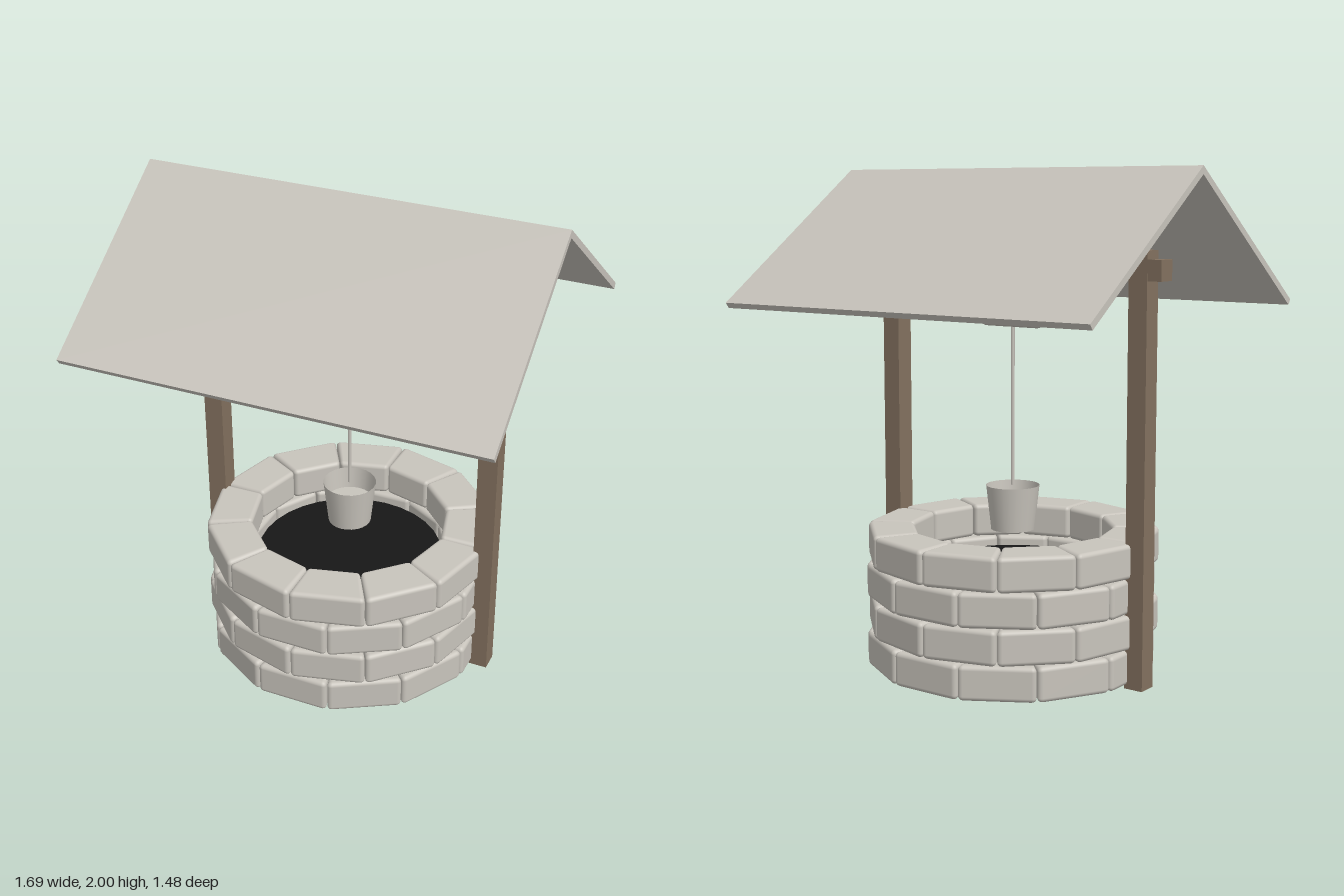
import * as THREE from 'three';
import { RoundedBoxGeometry } from 'three/addons/geometries/RoundedBoxGeometry.js';

export function createModel() {
  const mat = (name, color, side = THREE.FrontSide) => {
    const m = new THREE.MeshStandardMaterial({ color, side });
    m.name = name;
    return m;
  };
  const stone = mat('pale stone', 0xc8c4bc, THREE.DoubleSide);
  const wood = mat('brown wood', 0x83715f);
  const black = mat('black pit', 0x171717);

  const model = new THREE.Group();
  model.name = 'well';
  const add = (name, geo, material, x = 0, y = 0, z = 0, parent = model) => {
    const m = new THREE.Mesh(geo, material);
    m.name = name;
    m.position.set(x, y, z);
    parent.add(m);
    return m;
  };

  // One wedge-shaped stone with rounded edges, widening outwards
  const inner = 0.39, outer = 0.573, mid = (inner + outer) / 2, count = 12;
  const width = 2 * mid * Math.tan(Math.PI / count) - 0.003;
  const block = new RoundedBoxGeometry(width, 0.137, outer - inner, 3, 0.018);
  block.translate(0, 0, mid);
  const pos = block.attributes.position;
  for (let i = 0; i < pos.count; i++) pos.setX(i, pos.getX(i) * pos.getZ(i) / mid);

  // Four staggered courses of stones
  const wall = new THREE.Group();
  wall.name = 'stoneWall';
  model.add(wall);
  for (let row = 0; row < 4; row++) {
    for (let i = 0; i < count; i++) {
      const s = add('stone', block, stone, 0, 0.09 + row * 0.14, 0, wall);
      s.rotation.y = (i + (row % 2) / 2) * 2 * Math.PI / count;
    }
  }

  // Dark shaft filling
  add('darkShaft', new THREE.CylinderGeometry(0.386, 0.386, 0.4, 32), black, 0, 0.2, 0);

  // Posts and crossbeam
  for (const side of [-1, 1]) {
    add(side > 0 ? 'leftPost' : 'rightPost',
      new THREE.BoxGeometry(0.08, 1.685, 0.08), wood, side * 0.6, 0.8505, 0);
  }
  add('crossbeam', new THREE.BoxGeometry(1.4, 0.08, 0.078), wood, 0, 1.62, 0);

  // Two sloping roof panels meeting at the ridge
  const slope = 0.614, length = 0.903, thick = 0.026;
  const panel = new THREE.BoxGeometry(1.69, thick, length);
  panel.translate(0, -thick / 2, length / 2);
  panel.rotateX(slope);
  for (const side of [-1, 1]) {
    const p = add(side > 0 ? 'frontRoofPanel' : 'backRoofPanel', panel, stone, 0, 2, 0);
    if (side < 0) p.rotation.y = Math.PI;
  }

  // Winding drum with softened rims
  const v = (x, y) => new THREE.Vector2(x, y);
  const drum = new THREE.LatheGeometry([
    v(0, -0.14), v(0.055, -0.14), v(0.066, -0.134), v(0.07, -0.12),
    v(0.07, 0.12), v(0.066, 0.134), v(0.055, 0.14), v(0, 0.14)], 20);
  drum.rotateZ(Math.PI / 2);
  add('drum', drum, stone, 0, 1.447, 0);

  // Rope
  add('rope', new THREE.CylinderGeometry(0.008, 0.008, 0.66, 8), stone, 0, 1.07, 0);

  // Bucket: tapered wall, raised floor and closed base
  add('bucketWall', new THREE.CylinderGeometry(0.108, 0.088, 0.18, 24, 1, true), stone, 0, 0.65, 0);
  for (const [name, r, y] of [['bucketFloor', 0.098, 0.65], ['bucketBase', 0.088, 0.56]]) {
    const d = add(name, new THREE.CircleGeometry(r, 24), stone, 0, y, 0);
    d.rotation.x = name === 'bucketBase' ? Math.PI / 2 : -Math.PI / 2;
  }

  return model;
}
